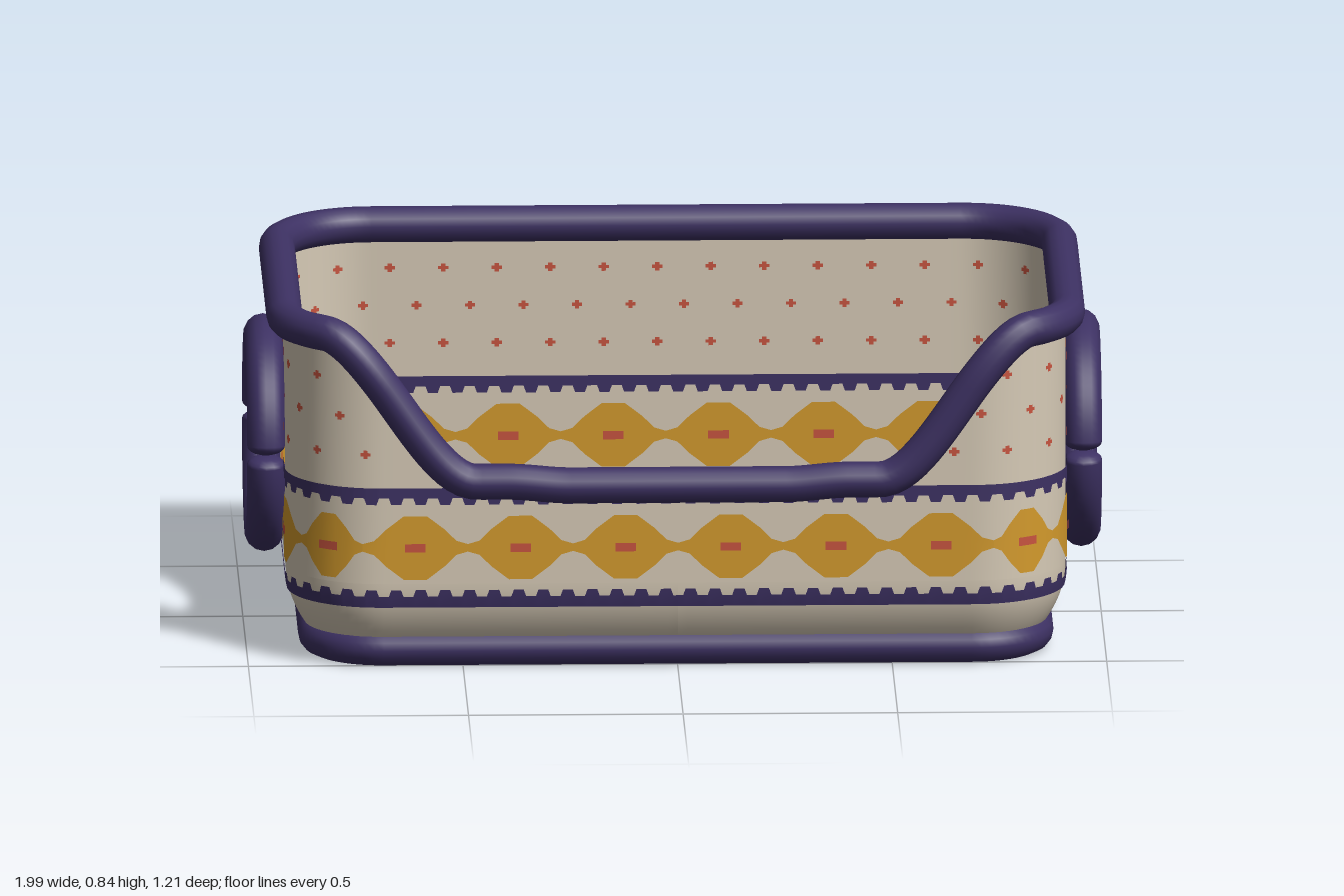
import * as THREE from 'three';
import { mergeGeometries } from 'three/addons/utils/BufferGeometryUtils.js';

const mat = (name, color) => new THREE.MeshStandardMaterial({ name, color, side: THREE.DoubleSide });

// Rounded-rectangle footprint, measured along its perimeter from the front centre towards +x
const A = 0.908, B = 0.558, R = 0.22;
const ARC = R * Math.PI / 2;
const QUARTER = (A - R) + ARC + (B - R);
const LENGTH = QUARTER * 4;
const HOLE_Y = 0.442, HOLE_R = 0.225;
const smooth = THREE.MathUtils.smoothstep;

function footprint(s, out = 0) {
  s = ((s % LENGTH) + LENGTH) % LENGTH;
  const back = s > LENGTH / 4 && s < LENGTH * 3 / 4;
  const left = s > LENGTH / 2;
  let q = left ? LENGTH - s : s;
  if (q > QUARTER) q = 2 * QUARTER - q;
  let x, z;
  if (q < A - R) {
    x = q; z = B + out;
  } else if (q < A - R + ARC) {
    const a = (q - (A - R)) / R;
    x = A - R + (R + out) * Math.sin(a);
    z = B - R + (R + out) * Math.cos(a);
  } else {
    x = A + out; z = QUARTER - q;
  }
  return [left ? -x : x, back ? -z : z];
}

// The wall curves inward near the floor
const inset = (y) => (y < 0.2 ? 0.06 * ((0.2 - y) / 0.15) ** 2 : 0);

// Height of the upper edge, lowered at the front
function topEdge(s) {
  s = ((s % LENGTH) + LENGTH) % LENGTH;
  const d = Math.min(s, LENGTH - s);
  const low = 0.445 + 0.01 * smooth(d, 0.25, 0.4);
  return low + (0.803 - low) * smooth(d, 0.47, 0.83);
}

// Half height of the handle opening at a perimeter position
function holeHalf(s) {
  const m = ((s % (LENGTH / 2)) + LENGTH / 2) % (LENGTH / 2);
  const d = Math.abs(m - QUARTER);
  return d < HOLE_R ? Math.sqrt(HOLE_R * HOLE_R - d * d) : 0;
}

// Surface following the wall between two height functions, cut around the handle openings
function strip(columns, lo, hi, rows = 1, out = 0) {
  const pos = [], index = [];
  for (const upper of [false, true]) {
    const start = pos.length / 3;
    const spans = columns.map((s) => {
      const h = holeHalf(s);
      const a = upper ? Math.max(lo(s), HOLE_Y + h) : lo(s);
      const b = upper ? hi(s) : Math.min(hi(s), HOLE_Y - h);
      return [a, Math.max(a, b)];
    });
    spans.forEach(([a, b], i) => {
      for (let r = 0; r <= rows; r++) {
        const y = a + (b - a) * r / rows;
        const [x, z] = footprint(columns[i], out - inset(y));
        pos.push(x, y, z);
      }
    });
    for (let i = 0; i < columns.length - 1; i++) {
      if (spans[i][1] - spans[i][0] + spans[i + 1][1] - spans[i + 1][0] < 1e-6) continue;
      for (let r = 0; r < rows; r++) {
        const a = start + i * (rows + 1) + r, b = a + rows + 1;
        index.push(a, b, b + 1, a, b + 1, a + 1);
      }
    }
  }
  const g = new THREE.BufferGeometry();
  g.setAttribute('position', new THREE.Float32BufferAttribute(pos, 3));
  g.setIndex(index);
  g.computeVertexNormals();
  return g;
}

// Painted layer on both faces of the wall
const paint = (columns, lo, hi, out = 0.004) =>
  [out, -out].map((o) => strip(columns, lo, hi, 2, o));

class RimCurve extends THREE.Curve {
  constructor(height, out) { super(); this.height = height; this.out = out; }
  getPoint(t, target = new THREE.Vector3()) {
    const s = t * LENGTH;
    const [x, z] = footprint(s, this.out);
    return target.set(x, this.height(s), z);
  }
}

export function createModel() {
  const model = new THREE.Group();
  model.name = 'basket';
  const cream = mat('cream', 0xd6cab6), navy = mat('navy', 0x3d3163);
  const gold = mat('gold', 0xd39a2c), red = mat('red', 0xc8543f);
  const add = (name, geometry, material, parent = model) => {
    const mesh = new THREE.Mesh(geometry, material);
    mesh.name = name;
    parent.add(mesh);
    return mesh;
  };

  // Wall, with extra columns that keep the handle openings round
  const columns = [];
  for (let i = 0; i <= 240; i++) columns.push(i * LENGTH / 240);
  for (const c of [QUARTER, QUARTER * 3])
    for (let i = 0; i <= 40; i++) columns.push(c - HOLE_R * Math.cos(i * Math.PI / 40));
  columns.sort((a, b) => a - b);
  add('lowerWall', strip(columns, () => 0.05, () => 0.21, 8), cream);
  add('upperWall', strip(columns, () => 0.21, topEdge), cream);

  // Rims
  const rim = (name, height, out, radius) => {
    const curve = new RimCurve(height, out);
    curve.arcLengthDivisions = 600;
    add(name, new THREE.TubeGeometry(curve, 280, radius, 14, true), navy);
  };
  rim('topRim', topEdge, 0.004, 0.042);
  rim('bottomRim', () => 0.042, -0.07, 0.042);

  // Toothed bands
  const TEETH = 96, pitch = LENGTH / TEETH, teeth = [];
  for (let i = 0; i < TEETH; i++) for (const f of [0, 0.2, 0.3, 0.7, 0.8]) teeth.push((i + f) * pitch);
  teeth.push(LENGTH);
  const tooth = (s) => {
    const f = Math.abs(((s / pitch) % 1) - 0.5);
    return 0.016 * (1 - THREE.MathUtils.clamp((f - 0.2) / 0.1, 0, 1));
  };
  add('bands', mergeGeometries([
    ...paint(teeth, () => 0.153, (s) => 0.18 + tooth(s)),
    ...paint(teeth, (s) => 0.416 - tooth(s), () => 0.44),
  ]), navy);

  // Chain of diamonds with red centres
  const edges = [0, 0.245, 0.49, 0.735, 0.905, 1.13, QUARTER];
  const profile = [[0, 0.076], [0.22, 0.076], [0.55, 0.045], [0.78, 0.017], [1, 0.009]];
  const MID = 0.297, diamonds = [], centres = [];
  for (const base of [0, LENGTH / 2]) for (const side of [1, -1])
    for (let i = 0; i < 6; i++) {
      const c = base + side * (edges[i] + edges[i + 1]) / 2;
      const w = (edges[i + 1] - edges[i]) / 2;
      const cols = [], heights = new Map();
      for (const dir of [-1, 1])
        for (const [t, h] of dir < 0 ? [...profile].reverse() : profile.slice(1)) {
          cols.push(c + dir * t * w);
          heights.set(c + dir * t * w, h);
        }
      diamonds.push(...paint(cols, (s) => MID - heights.get(s), (s) => MID + heights.get(s)));
      centres.push(...paint([c - 0.024, c, c + 0.024], () => MID - 0.01, () => MID + 0.01, 0.007));
    }
  add('diamonds', mergeGeometries(diamonds), gold);
  add('diamondCentres', mergeGeometries(centres), red);

  // Rows of small crosses on the upper wall
  const crosses = [];
  [0.7, 0.61, 0.52].forEach((y, row) => {
    for (let i = 0; i < 44; i++) {
      const s = (i + (row % 2) / 2) * LENGTH / 44 + 0.02;
      const m = (s % (LENGTH / 2)) - QUARTER;
      if (Math.hypot(m, y - HOLE_Y) < 0.27 || y > topEdge(s) - 0.06) continue;
      for (const [w, h] of [[0.012, 0.004], [0.005, 0.01]])
        crosses.push(...paint([s - w, s + w], () => y - h, () => y + h, w > h ? 0.003 : 0.0035));
    }
  });
  add('crosses', mergeGeometries(crosses), red);

  // Handle rings, each made of two padded halves
  const RING = 0.232, TUBE = 0.045, GAP = 0.1;
  for (const side of [1, -1]) {
    const handle = new THREE.Group();
    handle.name = side > 0 ? 'leftHandle' : 'rightHandle';
    handle.position.set(side * 0.952, HOLE_Y, 0);
    handle.rotation.y = Math.PI / 2;
    for (const half of [0, 1]) {
      const arc = new THREE.TorusGeometry(RING, TUBE, 14, 36, Math.PI - 2 * GAP);
      arc.rotateZ(GAP + half * Math.PI);
      add(half ? 'lowerHalf' : 'upperHalf', arc, navy, handle);
      for (const a of [GAP, Math.PI - GAP]) {
        const cap = new THREE.SphereGeometry(TUBE, 14, 10);
        cap.scale(1, 0.5, 1);
        cap.rotateZ(a);
        const end = add('halfEnd', cap, navy, handle);
        const b = a + half * Math.PI;
        end.position.set(RING * Math.cos(b), RING * Math.sin(b), 0);
      }
    }
    model.add(handle);
  }
  return model;
}
